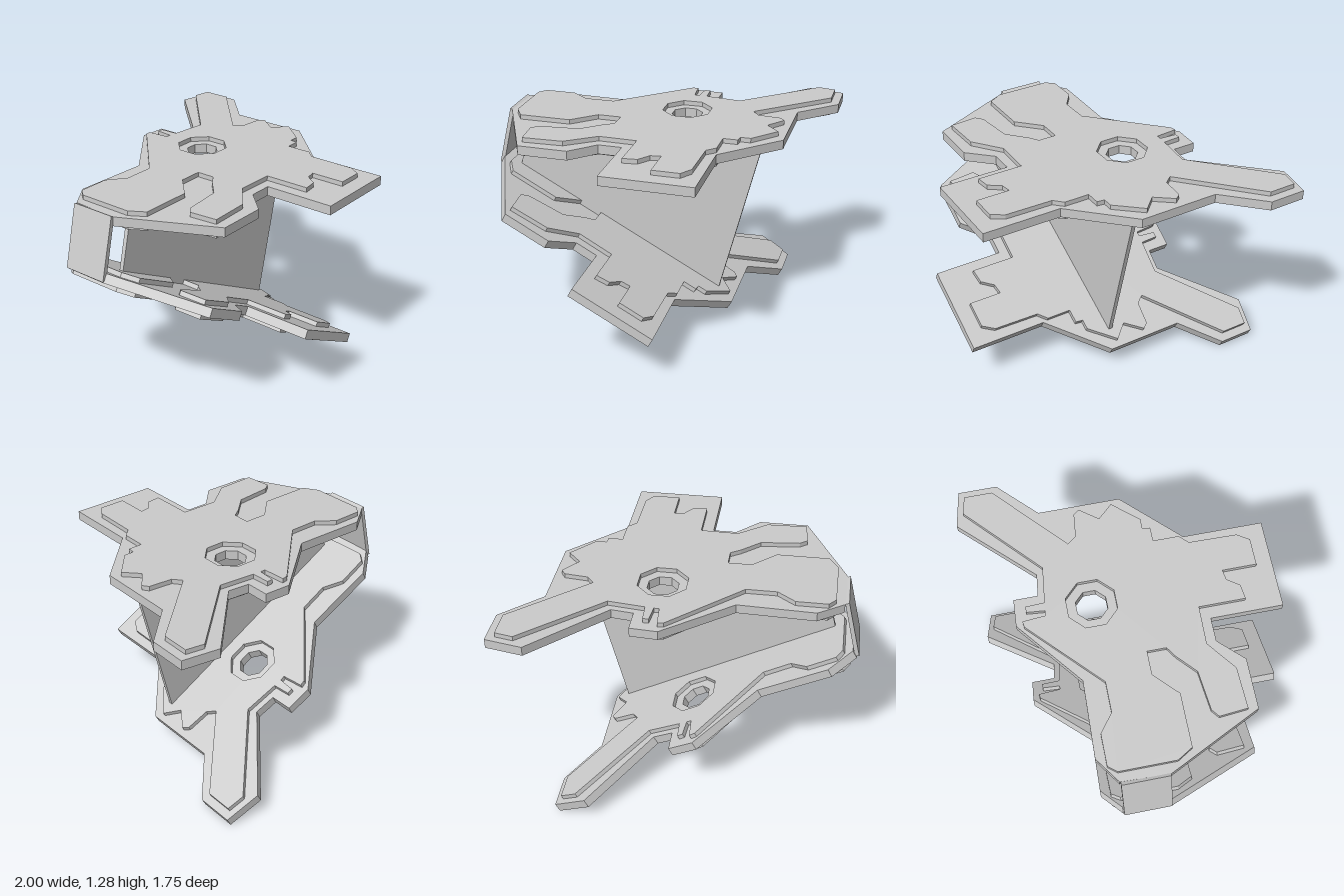
import * as THREE from 'three';

const material = new THREE.MeshStandardMaterial({ color: 0xcccccc, flatShading: true });

// Outlines in plan: [x, z]
const plateOutline = [
  [-0.89, -0.24], [-0.9, 0.04], [-0.635, 0.585], [-0.34, 0.585], [-0.205, 0.445], [-0.065, 0.445],
  [-0.065, 0.865], [0.465, 0.865], [0.465, 0.4], [0.78, 0.08], [0.78, -0.4], [1, -0.615],
  [1, -0.84], [0.785, -0.88], [0.39, -0.475], [0.26, -0.49], [0.26, -0.63], [0.1, -0.64],
  [-0.29, -0.33], [-0.74, -0.345],
];
const panelOutline = [
  [0.075, -0.595], [0.11, -0.6], [0.12, -0.465], [0.15, -0.465], [0.16, -0.57], [0.195, -0.57], [0.2, -0.46],
  [0.415, -0.435], [0.845, -0.83], [0.95, -0.81], [0.95, -0.645], [0.535, -0.265], [0.575, -0.215],
  [0.715, -0.2], [0.74, -0.165], [0.66, -0.06], [0.74, 0.025], [0.61, 0.175], [0.55, 0.175],
  [0.545, 0.22], [0.46, 0.22], [0.46, 0.37], [0.41, 0.42], [0.405, 0.7], [0.36, 0.77], [0.2, 0.77],
  [0.2, 0.57], [0.14, 0.58], [0.09, 0.65], [0.005, 0.66], [0.005, 0.39], [-0.22, 0.385],
  [-0.39, 0.515], [-0.63, 0.525], [-0.645, 0.36], [-0.6, 0.325], [-0.37, 0.3], [-0.26, 0.2],
  [-0.2, 0.16], [-0.2, 0.05], [-0.34, 0.05], [-0.475, 0.18], [-0.785, 0.18], [-0.84, 0.09],
  [-0.84, -0.24], [-0.8, -0.29], [-0.615, -0.29], [-0.51, -0.21], [-0.33, -0.21],
];

const toPoints = (list) => list.map(([x, y]) => new THREE.Vector2(x, y));

function octagon(cx, cy, radius) {
  const points = [];
  for (let i = 0; i < 8; i++) {
    const a = ((i + 0.5) * Math.PI) / 4;
    points.push(new THREE.Vector2(cx + radius * Math.cos(a), cy + radius * Math.sin(a)));
  }
  return new THREE.Path(points);
}

// Flat slab in the xz plane, centred on y = 0, with an octagonal hole
function slab(name, outline, thickness, holeRadius) {
  const shape = new THREE.Shape(toPoints(outline));
  shape.holes.push(octagon(0.143, -0.2, holeRadius));
  const geometry = new THREE.ExtrudeGeometry(shape, { depth: thickness, bevelEnabled: false });
  geometry.translate(0, 0, -thickness / 2).rotateX(Math.PI / 2);
  const mesh = new THREE.Mesh(geometry, material);
  mesh.name = name;
  return mesh;
}

// Wing plate with a raised panel standing proud on both faces
function wing(name) {
  const group = new THREE.Group();
  group.name = name;
  group.add(slab('wingPlate', plateOutline, 0.055, 0.094));
  group.add(slab('raisedPanel', panelOutline, 0.11, 0.151));
  return group;
}

// Upright sheet: a front profile [x, y] running from z0 to z1
function sheet(name, profile, z0, z1) {
  const geometry = new THREE.ExtrudeGeometry(new THREE.Shape(toPoints(profile)), {
    depth: z1 - z0,
    bevelEnabled: false,
  });
  geometry.translate(0, 0, z0);
  const mesh = new THREE.Mesh(geometry, material);
  mesh.name = name;
  return mesh;
}

export function createModel() {
  const model = new THREE.Group();

  const upperWing = wing('upperWing');
  upperWing.position.y = 1.23;

  // The lower wing is the same part, tilted down towards +x
  const lowerWing = wing('lowerWing');
  lowerWing.position.set(-0.187, 0.5, 0);
  lowerWing.rotation.z = -0.487;

  model.add(upperWing, lowerWing);

  // Thin web between the wings
  model.add(sheet('centreWeb', [[-0.865, 0.86], [0.415, 0.2], [0.655, 1.19], [-0.785, 1.19]], 0.025, 0.05));

  // Short strut joining the blunt ends of the wings
  model.add(sheet('endStrut', [[-1, 0.904], [-0.975, 0.9], [-0.89, 1.255], [-0.912, 1.265]], -0.235, 0.04));

  return model;
}
